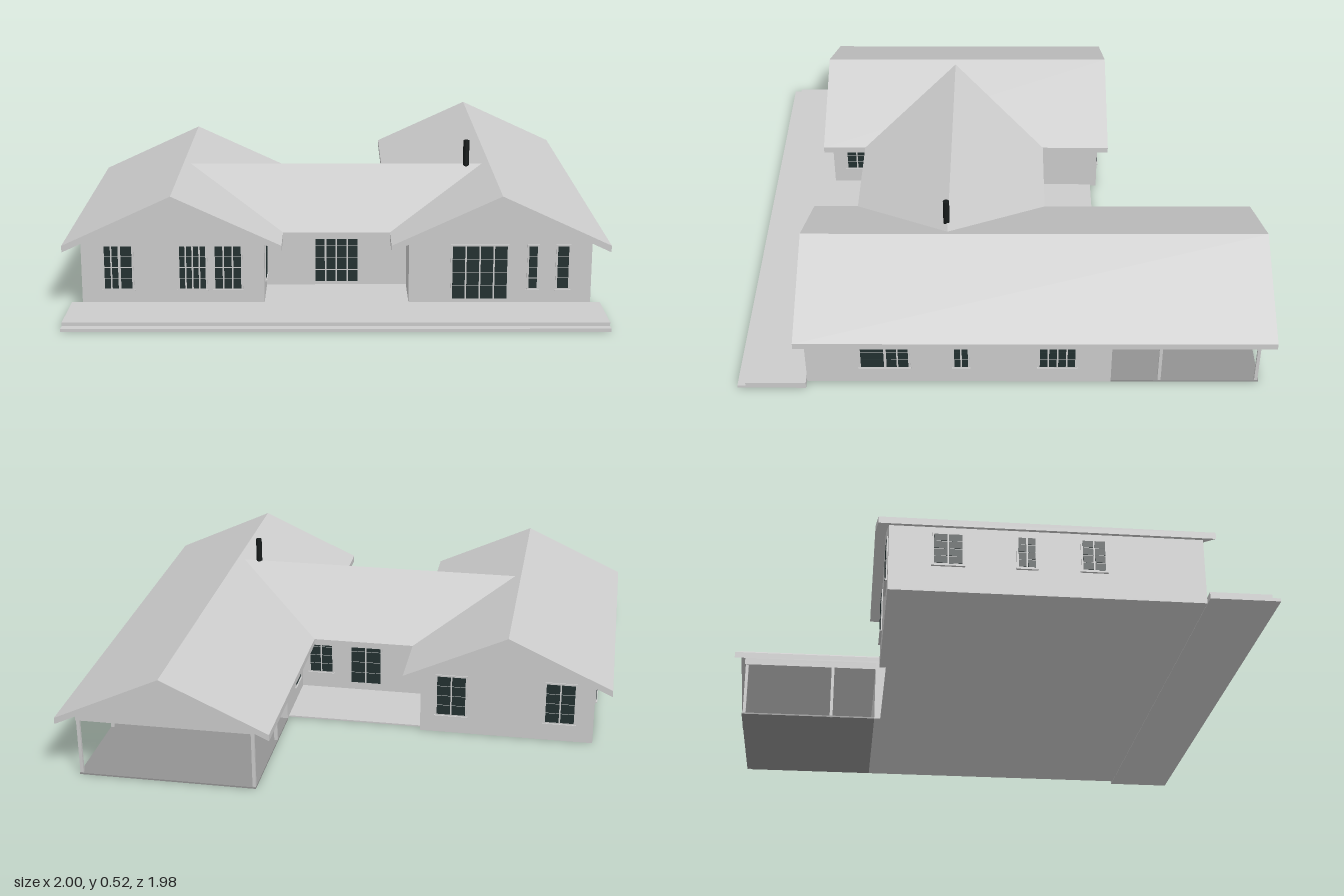
import * as THREE from 'three';

const mat = (name, color, side = THREE.FrontSide) => {
  const m = new THREE.MeshStandardMaterial({ color, side });
  m.name = name;
  return m;
};

export function createModel() {
  const house = new THREE.Group();
  house.name = 'house';
  const plaster = mat('pale grey plaster', 0xcccccc);
  const paving = mat('carport paving', 0x929292);
  const glass = mat('dark glass', 0x223030);
  const black = mat('chimney black', 0x161a1a);

  const add = (name, geo, material, parent = house) => {
    const m = new THREE.Mesh(geo, material);
    m.name = name;
    parent.add(m);
    return m;
  };
  // box given by its limits on each axis
  const box = (name, x0, x1, y0, y1, z0, z1, material = plaster, parent = house) => {
    const m = add(name, new THREE.BoxGeometry(x1 - x0, y1 - y0, z1 - z0), material, parent);
    m.position.set((x0 + x1) / 2, (y0 + y1) / 2, (z0 + z1) / 2);
    return m;
  };
  // outline in x and y, extruded from z0 to z1 around x = cx
  const prism = (name, cx, points, z0, z1) => {
    const shape = new THREE.Shape(points.map(([x, y]) => new THREE.Vector2(x, y)));
    const m = add(name, new THREE.ExtrudeGeometry(shape, { depth: z1 - z0, bevelEnabled: false }), plaster);
    m.position.set(cx, 0, z0);
  };

  // floor slab, terrace and step
  box('floorSlab', -0.935, 0.935, 0, 0.006, -0.375, 0.73);
  box('terrace', -0.975, 0.97, 0.012, 0.025, 0.731, 0.955);
  box('terraceInset', -0.265, 0.265, 0.006, 0.025, 0.52, 0.731);
  box('step', -0.975, 0.97, 0, 0.012, 0.731, 0.985);

  // two gabled wings
  const gable = (y) => [[-0.335, y], [0.335, y], [0.335, 0.254], [0, 0.409], [-0.335, 0.254]];
  const roof = [[-0.4, 0.225], [0, 0.41], [0.4, 0.225], [0.4, 0.25], [0, 0.435], [-0.4, 0.25]];
  prism('rightWingWalls', -0.6, gable(0), -0.4, 0.73);
  prism('rightWingRoof', -0.6, roof, -0.44, 0.76);
  prism('leftWingWalls', 0.6, gable(0), -0.4, 0.73);
  prism('leftWingRoof', 0.6, roof, -0.99, 0.76);

  // carport behind the left wing
  prism('carportGable', 0.6, gable(0.225), -0.95, -0.4);
  box('carportFloor', 0.265, 0.935, 0, 0.006, -0.95, -0.4, paving);
  for (const x of [0.272, 0.928])
    for (const z of [-0.58, -0.94])
      box('carportPost', x - 0.006, x + 0.006, 0, 0.226, z - 0.006, z + 0.006);

  // middle block with a roof that meets the wings in valleys
  box('middleWalls', -0.27, 0.27, 0, 0.25, -0.1, 0.52);
  const slope = (name, zEave) => {
    const t = 0.025, s = Math.sign(zEave - 0.21);
    const top = [[-0.2, 0.25, zEave], [0.2, 0.25, zEave], [0.575, 0.425, 0.21], [-0.575, 0.425, 0.21]];
    const pts = [...top, ...top.map(([x, y, z]) => [x, y - t, z])];
    const faces = [[0, 1, 2, 3], [7, 6, 5, 4], [4, 5, 1, 0]];
    const pos = [];
    for (const f of faces) {
      const [a, b, c, d] = s > 0 ? f : [...f].reverse();
      for (const i of [a, b, c, a, c, d]) pos.push(...pts[i]);
    }
    const g = new THREE.BufferGeometry();
    g.setAttribute('position', new THREE.Float32BufferAttribute(pos, 3));
    g.computeVertexNormals();
    add(name, g, plaster);
  };
  slope('middleRoofFront', 0.585);
  slope('middleRoofBack', -0.165);

  // chimney pipe
  const pipe = add('chimney', new THREE.CylinderGeometry(0.012, 0.012, 0.12, 16), black);
  pipe.position.set(0.512, 0.46, 0.215);

  // windows: face direction, wall plane, then [from, to, bottom, top, columns] along x or z
  const turn = { front: 0, back: Math.PI, left: Math.PI / 2, right: -Math.PI / 2 };
  const addWindow = (face, plane, [u0, u1, y0, y1, cols]) => {
    const g = new THREE.Group();
    g.name = face + 'Window';
    const w = u1 - u0, u = (u0 + u1) / 2, rows = 4, gx = 0.006, gy = 0.003;
    if (face === 'front' || face === 'back') g.position.set(u, 0, plane);
    else g.position.set(plane, 0, u);
    g.rotation.y = turn[face];
    house.add(g);
    box('windowFrame', -w / 2 - 0.007, w / 2 + 0.007, y0 - 0.007, y1 + 0.007, -0.001, 0.004, plaster, g);
    if (y0 > 0.05) box('windowSill', -w / 2 - 0.01, w / 2 + 0.01, y0 - 0.011, y0 - 0.006, -0.001, 0.009, plaster, g);
    const pw = (w - gx * (cols - 1)) / cols, ph = (y1 - y0 - gy * (rows - 1)) / rows;
    for (let i = 0; i < cols; i++)
      for (let j = 0; j < rows; j++) {
        const x = -w / 2 + i * (pw + gx), y = y0 + j * (ph + gy);
        box('windowPane', x, x + pw, y, y + ph, 0.003, 0.006, glass, g);
      }
  };
  const windows = [
    ['front', 0.73, [
      [-0.85, -0.8, 0.08, 0.24, 2], [-0.79, -0.75, 0.08, 0.24, 1],
      [-0.575, -0.48, 0.08, 0.24, 4], [-0.445, -0.35, 0.08, 0.24, 3],
      [0.425, 0.625, 0.04, 0.24, 4], [0.705, 0.735, 0.08, 0.24, 1], [0.81, 0.85, 0.08, 0.24, 1]]],
    ['front', 0.52, [[-0.08, 0.08, 0.04, 0.225, 4]]],
    ['left', 0.935, [
      [0.44, 0.525, 0.08, 0.225, 1], [0.35, 0.43, 0.08, 0.225, 2],
      [0.13, 0.18, 0.08, 0.225, 2], [-0.265, -0.135, 0.08, 0.225, 4]]],
    ['right', -0.935, [
      [-0.24, -0.14, 0.11, 0.225, 2], [0.06, 0.12, 0.11, 0.225, 2], [0.29, 0.37, 0.11, 0.225, 2]]],
    ['back', -0.4, [[-0.44, -0.33, 0.08, 0.24, 2], [-0.86, -0.75, 0.08, 0.24, 2]]],
    ['back', -0.1, [[0.14, 0.23, 0.08, 0.225, 2], [-0.06, 0.06, 0.04, 0.225, 2]]],
    ['left', -0.265, [[0.59, 0.67, 0.1, 0.225, 2]]],
    ['right', 0.265, [[-0.25, -0.17, 0.08, 0.225, 2]]],
  ];
  for (const [face, plane, list] of windows) for (const w of list) addWindow(face, plane, w);

  return house;
}
